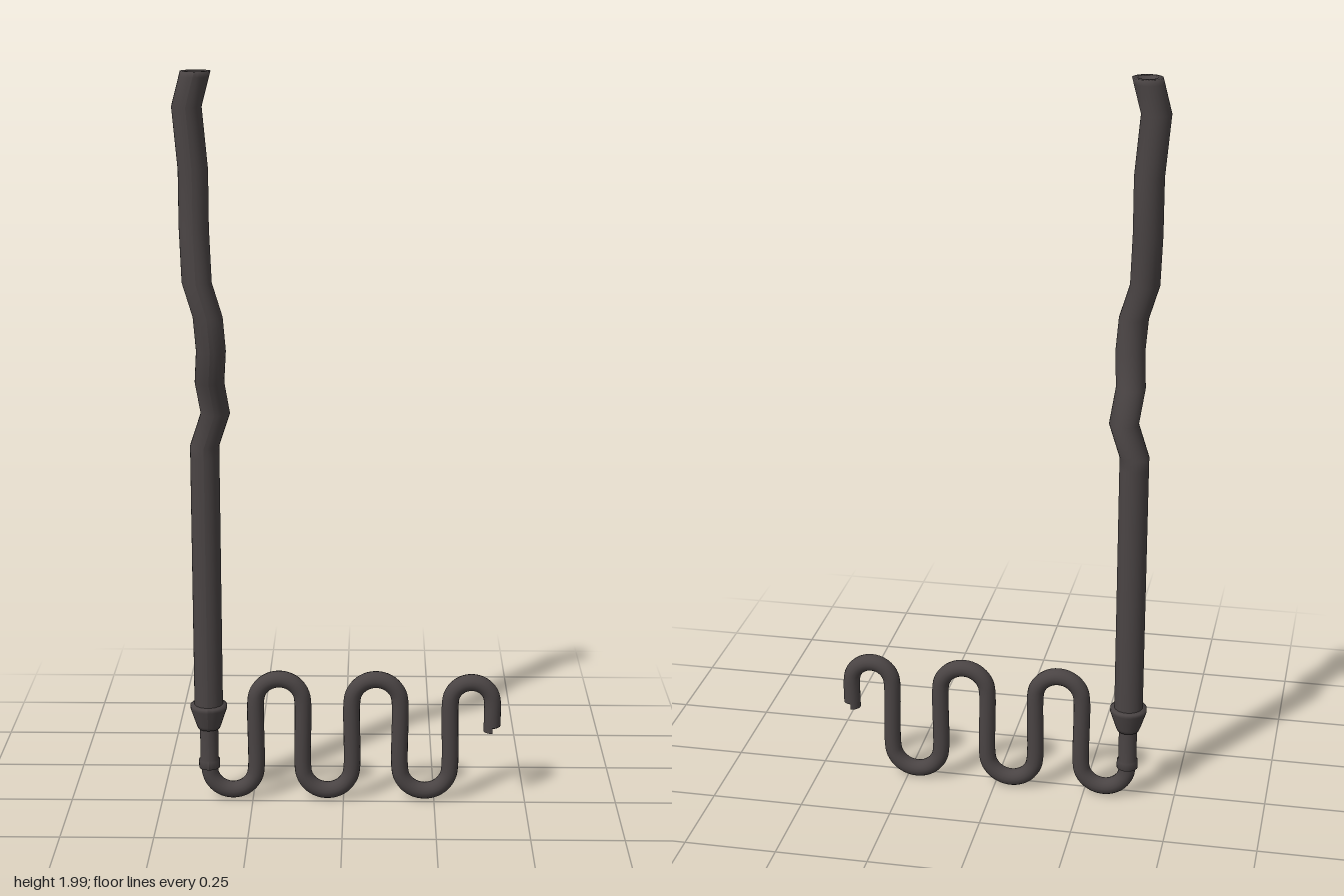
import * as THREE from 'three';

const material = new THREE.MeshStandardMaterial({ color: 0x4a4444, side: THREE.DoubleSide });
const AXIS_X = -0.37, AXIS_Z = -0.026, PIPE_R = 0.023;

function addPart(group, name, geometry) {
  const mesh = new THREE.Mesh(geometry, material);
  mesh.name = name;
  group.add(mesh);
  return mesh;
}

function turned(profile) {
  return new THREE.LatheGeometry(profile.map(([r, y]) => new THREE.Vector2(r, y)), 24);
}

// Bent hose: a turned profile whose rings are shifted along a centre line
function hoseGeometry() {
  const centres = [ // y, x, z
    [0.25, AXIS_X, AXIS_Z], [0.98, AXIS_X, AXIS_Z], [1.01, -0.37, -0.025], [1.1, -0.34, -0.021],
    [1.19, -0.352, 0.008], [1.28, -0.345, 0.035], [1.37, -0.352, 0.038], [1.46, -0.379, 0.037],
    [1.6, -0.386, 0.016], [1.75, -0.386, 0.014], [1.91, -0.4, 0.014], [1.985, -0.38, 0.014], [2, -0.376, 0.014]];
  const profile = centres.map(([y]) => [0.039, y]);
  // open mouth with a thick rim
  profile.push([0.025, 2], [0.024, 1.985], [0.001, 1.985]);
  const geometry = turned(profile);
  const pos = geometry.attributes.position;
  for (let i = 0; i < pos.count; i++) {
    const c = centres[Math.min(i % profile.length, centres.length - 1)];
    pos.setX(i, pos.getX(i) + c[1]);
    pos.setZ(i, pos.getZ(i) + c[2]);
  }
  geometry.computeVertexNormals();
  return geometry;
}

// Serpentine centre line: half-circle bends, alternately low and high
function coilCurve() {
  const columns = [-0.37, -0.241, -0.112, 0.023, 0.155, 0.293, 0.408];
  const points = [new THREE.Vector3(columns[0], 0.13, AXIS_Z)];
  for (let i = 0; i < columns.length - 1; i++) {
    const cx = (columns[i] + columns[i + 1]) / 2;
    const r = (columns[i + 1] - columns[i]) / 2;
    const low = i % 2 === 0;
    const top = i === 5 ? 0.345 : 0.352;
    const cy = low ? 0.028 + r : top - r;
    for (let k = 0; k <= 8; k++) {
      const a = Math.PI * (1 - k / 8);
      points.push(new THREE.Vector3(cx + r * Math.cos(a), cy + (low ? -r : r) * Math.sin(a), AXIS_Z));
    }
  }
  points.push(new THREE.Vector3(0.408, 0.22, AXIS_Z));
  return new THREE.CatmullRomCurve3(points, false, 'centripetal');
}

export function createModel() {
  const model = new THREE.Group();
  model.name = 'hoseAndCoil';

  addPart(model, 'hose', hoseGeometry());

  // Tapered collar and neck joining hose and coil
  const collar = addPart(model, 'collar', turned([[0.001, 0.21], [0.03, 0.21], [0.034, 0.22], [0.05, 0.268], [0.05, 0.278], [0.039, 0.28]]));
  const neck = addPart(model, 'neck', turned([[0.021, 0.095], [0.029, 0.095], [0.029, 0.117], [0.025, 0.12], [0.025, 0.215]]));
  for (const part of [collar, neck]) {
    part.geometry.computeVertexNormals();
    part.position.set(AXIS_X, 0, AXIS_Z);
  }

  addPart(model, 'coil', new THREE.TubeGeometry(coilCurve(), 260, PIPE_R, 16, false));

  // Cut-away lip at the free end of the coil
  const lip = addPart(model, 'outletLip', new THREE.CylinderGeometry(PIPE_R, PIPE_R, 0.02, 16, 1, true, Math.PI, Math.PI));
  lip.position.set(0.408, 0.214, AXIS_Z);
  const plug = addPart(model, 'outletPlug', new THREE.CylinderGeometry(PIPE_R - 0.005, PIPE_R - 0.005, 0.01, 16));
  plug.position.set(0.408, 0.222, AXIS_Z);

  return model;
}
